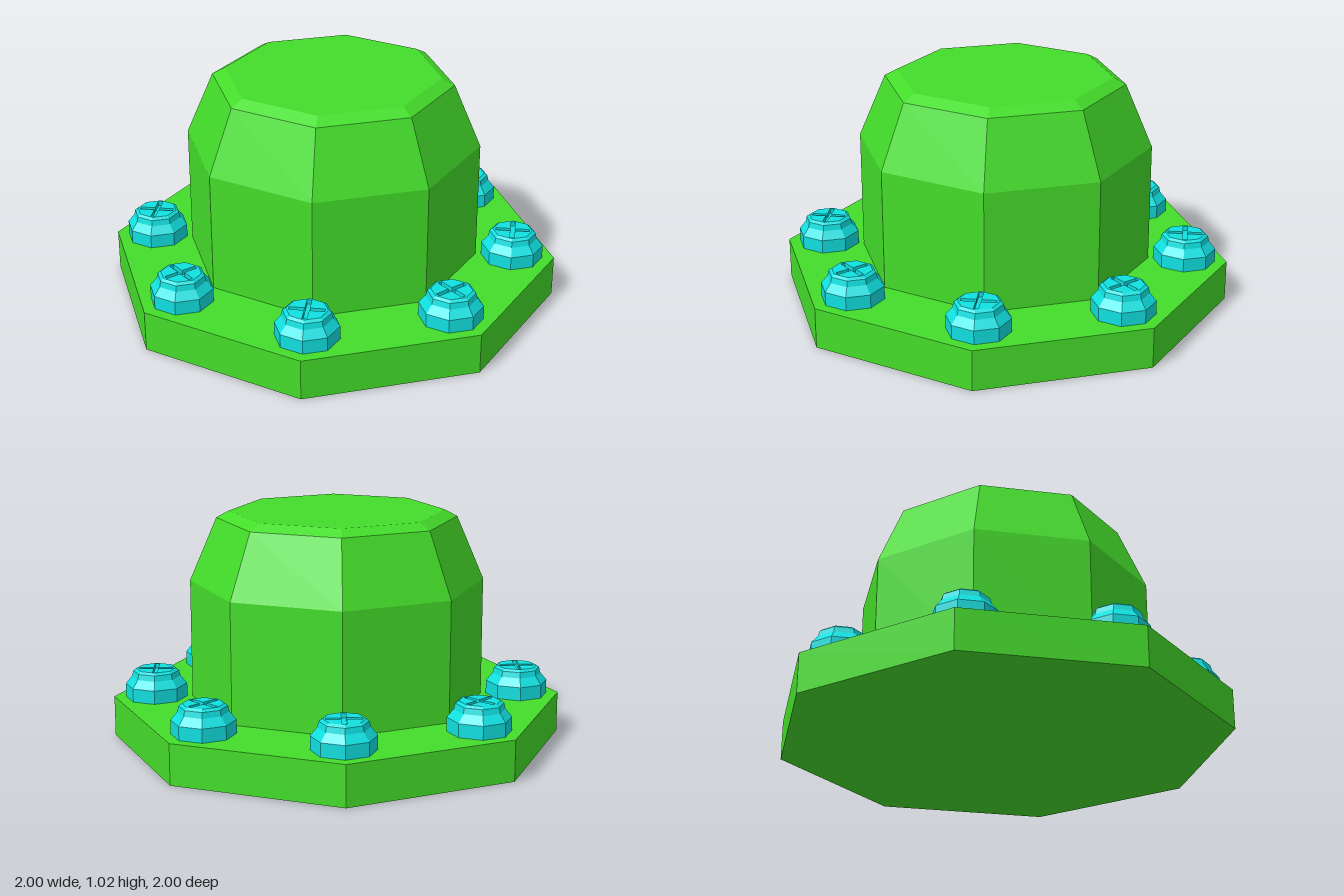
import * as THREE from 'three';

const SIDES = 8;

// Eight-sided turned solid from [radius, height] pairs, bottom to top
function turned(profile) {
  return new THREE.LatheGeometry(profile.map(([r, y]) => new THREE.Vector2(r, y)), SIDES);
}

function part(name, geometry, material) {
  const mesh = new THREE.Mesh(geometry, material);
  mesh.name = name;
  return mesh;
}

// Octagonal disc with a cross-shaped opening, lying flat
function slottedCap(radius, arm, half, depth) {
  const shape = new THREE.Shape();
  for (let i = 0; i < SIDES; i++) {
    const a = (i / SIDES) * Math.PI * 2;
    const x = radius * Math.cos(a), y = radius * Math.sin(a);
    if (i) shape.lineTo(x, y);
    else shape.moveTo(x, y);
  }
  shape.closePath();
  const cross = [];
  for (let i = 0; i < 4; i++) {
    for (const [x, y] of [[arm, -half], [arm, half], [half, half]]) {
      cross.push(new THREE.Vector2(x, y).rotateAround(new THREE.Vector2(), i * Math.PI / 2));
    }
  }
  shape.holes.push(new THREE.Path(cross));
  return new THREE.ExtrudeGeometry(shape, { depth, bevelEnabled: false }).rotateX(-Math.PI / 2);
}

export function createModel() {
  const model = new THREE.Group();
  model.name = 'boltedHub';
  const green = new THREE.MeshStandardMaterial({ color: 0x44dd2a, flatShading: true });
  const cyan = new THREE.MeshStandardMaterial({ color: 0x10e0e0, flatShading: true });

  // Flange plate and the domed hub on it
  model.add(part('flange', turned([[0, 0], [1, 0], [1, 0.18], [0, 0.18]]), green));
  model.add(part('hub', turned([[0.65, 0.17], [0.65, 0.71], [0.53, 0.99], [0.475, 1.02], [0, 1.02]]), green));

  // Cross-slotted bolts around the flange
  const headGeo = turned([[0.137, 0], [0.137, 0.06], [0.108, 0.095], [0.102, 0.12], [0.088, 0.13]]);
  const capGeo = slottedCap(0.088, 0.075, 0.01, 0.02).translate(0, 0.11, 0);
  const floorGeo = new THREE.CircleGeometry(0.088, SIDES).rotateX(-Math.PI / 2).translate(0, 0.11, 0);
  for (let i = 0; i < SIDES; i++) {
    const angle = (i / SIDES) * Math.PI * 2;
    const bolt = new THREE.Group();
    bolt.name = 'bolt' + (i + 1);
    bolt.add(
      part('boltHead', headGeo, cyan),
      part('slottedCap', capGeo, cyan),
      part('slotFloor', floorGeo, cyan)
    );
    bolt.position.set(0.81 * Math.sin(angle), 0.18, 0.81 * Math.cos(angle));
    bolt.rotation.y = angle;
    model.add(bolt);
  }
  return model;
}
